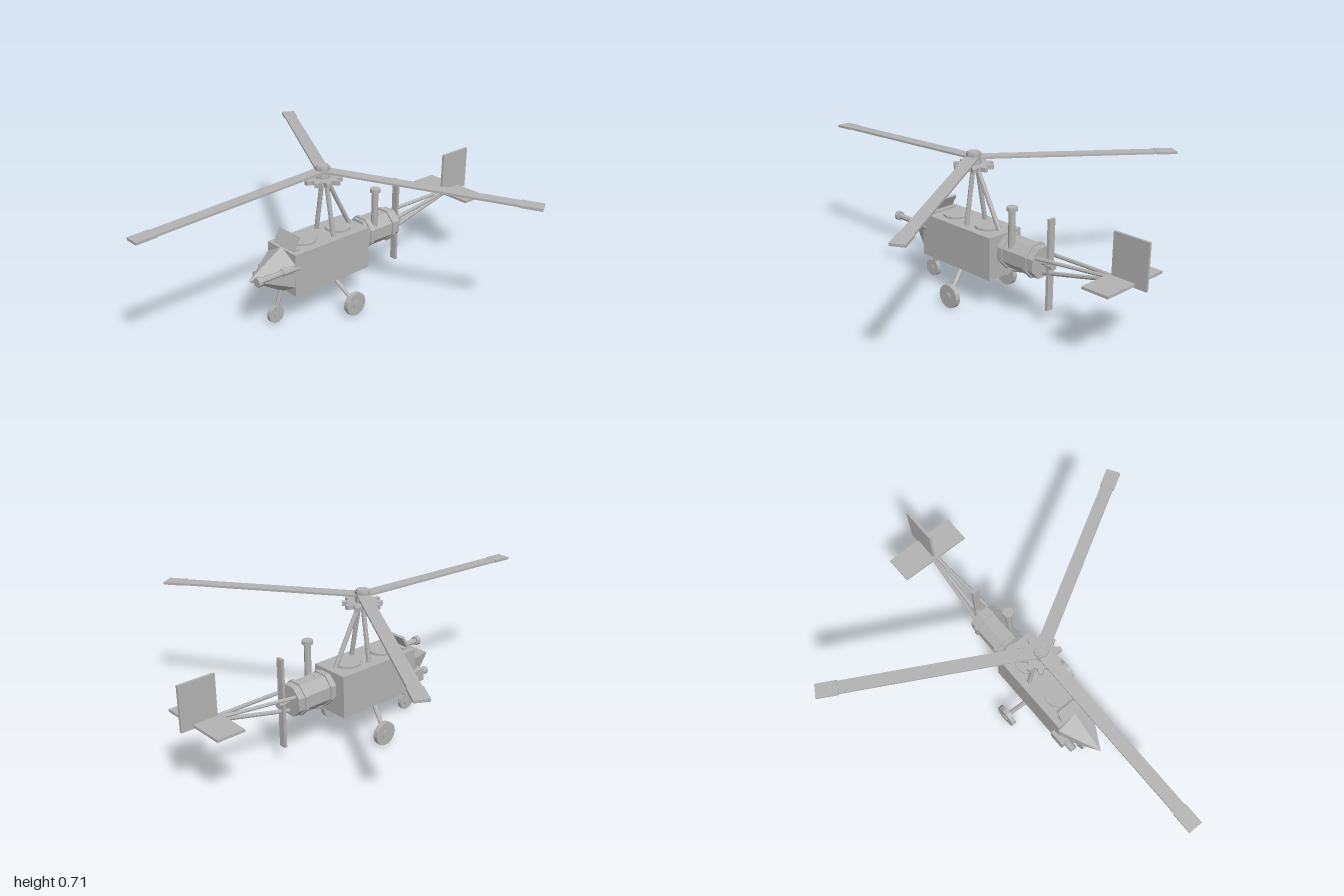
import * as THREE from 'three';

export function createModel() {
  const model = new THREE.Group();
  const grey = new THREE.MeshStandardMaterial({ color: 0xb2b2b2, flatShading: true });
  grey.name = 'plain grey';

  function add(name, geometry, x = 0, y = 0, z = 0, parent = model) {
    const mesh = new THREE.Mesh(geometry, grey);
    mesh.name = name;
    mesh.position.set(x, y, z);
    parent.add(mesh);
    return mesh;
  }
  const box = (w, h, d) => new THREE.BoxGeometry(w, h, d);
  const cyl = (r, h, n = 12, r2 = r) => new THREE.CylinderGeometry(r, r2, h, n);
  // Cylinders lying along z or x
  const cylZ = (r, h, n, r2) => cyl(r, h, n, r2).rotateX(Math.PI / 2);
  const cylX = (r, h, n) => cyl(r, h, n).rotateZ(Math.PI / 2);
  // Round bar between two points
  function rod(name, a, b, r) {
    const p = new THREE.Vector3(...a), q = new THREE.Vector3(...b);
    const mesh = add(name, cyl(r, p.distanceTo(q), 8));
    mesh.position.copy(p).add(q).multiplyScalar(0.5);
    mesh.quaternion.setFromUnitVectors(new THREE.Vector3(0, 1, 0), q.sub(p).normalize());
    return mesh;
  }

  // Fuselage
  add('body', box(0.2, 0.21, 0.455), 0, 0.265, 0.02);
  add('nose', cylZ(0, 0.19, 6, 0.115).translate(0, 0, 0), 0, 0.265, 0.342);
  add('windscreen', box(0.14, 0.07, 0.012), 0, 0.405, 0.215).rotation.x = -0.5;
  add('windscreenBase', box(0.14, 0.012, 0.03), 0, 0.373, 0.215);
  add('frontHatch', cyl(0.063, 0.02, 12), 0, 0.37, 0.12);
  add('rearHatch', cyl(0.063, 0.02, 12), 0, 0.37, -0.095);

  // Forward tube and lamp
  add('noseTube', cylZ(0.014, 0.22, 8), 0.085, 0.3, 0.34);
  add('noseTubeSleeve', cylZ(0.019, 0.09, 8), 0.085, 0.3, 0.27);
  add('noseTubeMuzzle', cylZ(0.023, 0.022, 10), 0.085, 0.3, 0.446);
  add('lampBox', box(0.05, 0.06, 0.08), -0.093, 0.23, 0.255);
  add('lamp', cylZ(0.019, 0.05, 10), -0.085, 0.23, 0.315);

  // Mast
  for (const s of [-1, 1]) rod('mastFrontStrut', [s * 0.06, 0.37, -0.015], [s * 0.012, 0.645, -0.01], 0.011);
  rod('mastRearStrut', [0, 0.37, -0.17], [0, 0.645, -0.02], 0.011);

  // Toothed rotor gear
  const gear = new THREE.Shape();
  const teeth = 10;
  for (let i = 0; i < teeth; i++) {
    [[0, 0.07], [0.22, 0.094], [0.5, 0.094], [0.72, 0.07]].forEach(([t, r], k) => {
      const a = (i + t) / teeth * Math.PI * 2;
      gear[i + k ? 'lineTo' : 'moveTo'](Math.cos(a) * r, Math.sin(a) * r);
    });
  }
  gear.closePath();
  const gearGeometry = new THREE.ExtrudeGeometry(gear, { depth: 0.02, bevelEnabled: false });
  add('rotorGear', gearGeometry.rotateX(-Math.PI / 2), 0, 0.635, 0);

  // Rotor head and drooping blades
  add('rotorHub', cyl(0.036, 0.055, 8), 0, 0.68, 0);
  add('rotorCap', cyl(0.03, 0.05, 8, 0.038), 0, 0.688, 0);
  for (let i = 0; i < 3; i++) {
    const arm = new THREE.Group();
    arm.name = 'rotorBlade';
    arm.position.y = 0.688;
    arm.rotation.set(0.045, i * Math.PI * 2 / 3, 0, 'YXZ');
    add('blade', box(0.06, 0.01, 0.88), 0, 0, 0.46, arm);
    add('bladeTip', box(0.068, 0.012, 0.1), 0, 0, 0.95, arm);
    model.add(arm);
  }

  // Engine with bands, exhaust and pusher propeller
  add('engine', cylZ(0.077, 0.215, 8).rotateZ(Math.PI / 8), 0, 0.298, -0.335);
  for (const z of [-0.253, -0.4]) {
    add('engineBand', cylZ(0.085, 0.018, 8).rotateZ(Math.PI / 8), 0, 0.298, z);
  }
  add('engineMount', cylZ(0.04, 0.04, 8), 0, 0.298, -0.217);
  add('exhaust', cyl(0.016, 0.2, 8), 0.047, 0.42, -0.293);
  add('exhaustCap', cyl(0.026, 0.018, 10), 0.047, 0.523, -0.293);
  add('propellerShaft', cylZ(0.012, 0.06, 8), 0, 0.298, -0.465);
  add('propellerHub', cylZ(0.02, 0.035, 8), 0, 0.298, -0.488);
  add('propeller', box(0.035, 0.435, 0.014), 0, 0.298, -0.483);

  // Tail booms and tail surfaces
  for (const s of [-1, 1]) rod('upperTailBoom', [s * 0.045, 0.328, -0.43], [s * 0.006, 0.354, -0.85], 0.009);
  rod('lowerTailBoom', [0, 0.205, -0.26], [0, 0.35, -0.87], 0.01);
  add('tailplane', box(0.36, 0.012, 0.135), 0, 0.357, -0.876);
  add('fin', box(0.012, 0.214, 0.178), 0, 0.45, -0.911);

  // Undercarriage
  function wheel(name, x, y, z, r, width) {
    add(name, cylX(r, width, 14), x, y, z);
    add(name + 'Cap', cylX(r * 0.35, width + 0.01, 10), x, y, z);
  }
  rod('noseLeg', [0, 0.17, 0.252], [0, 0.05, 0.29], 0.01);
  wheel('noseWheel', 0, 0.044, 0.29, 0.043, 0.02);
  for (const s of [-1, 1]) {
    rod('mainLeg', [s * 0.07, 0.175, 0], [s * 0.185, 0.065, -0.035], 0.011);
    wheel('mainWheel', s * 0.19, 0.058, -0.037, 0.058, 0.024);
  }
  return model;
}
